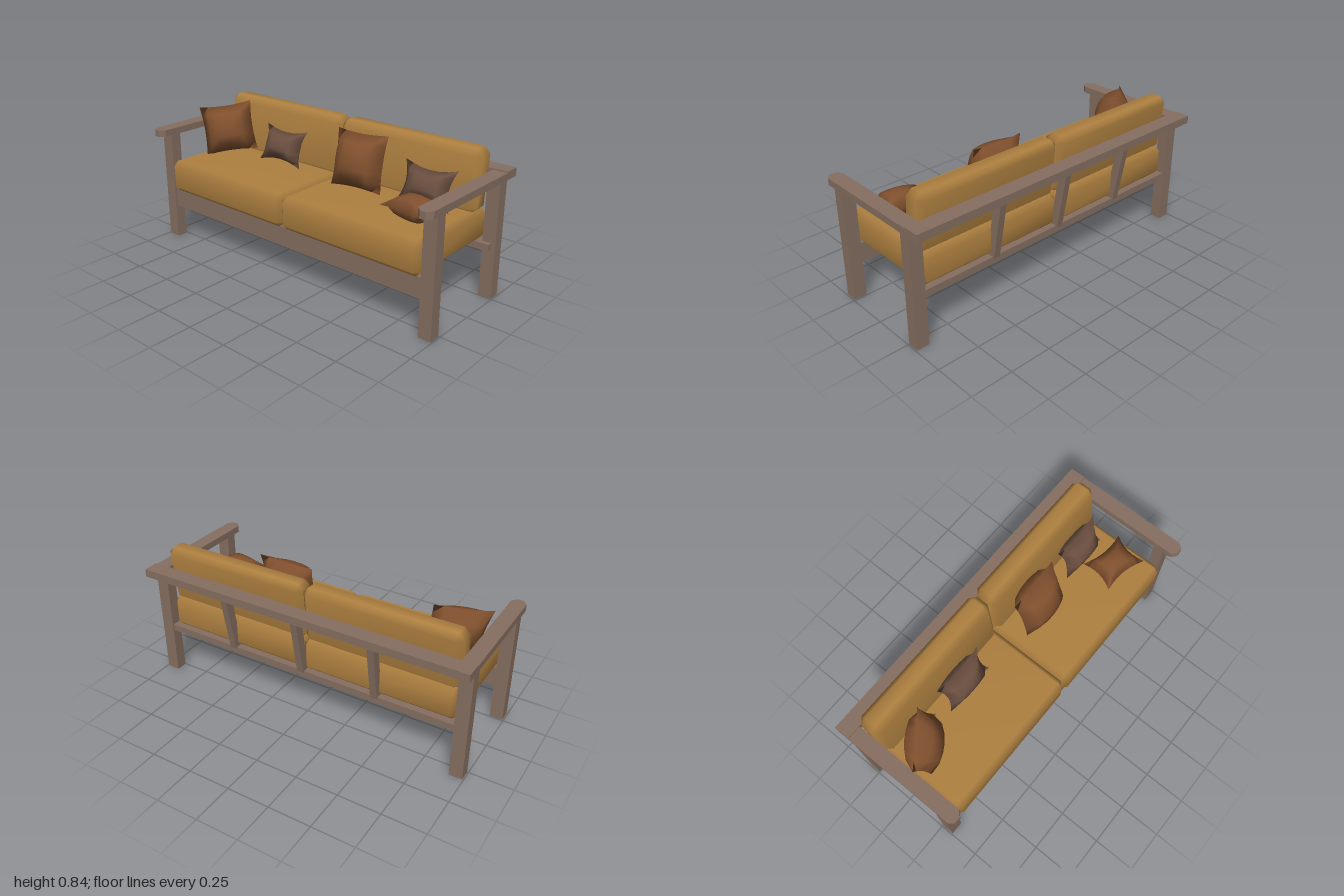
import * as THREE from 'three';
import { mergeVertices } from 'three/addons/utils/BufferGeometryUtils.js';
import { ConvexGeometry } from 'three/addons/geometries/ConvexGeometry.js';

const material = (name, color) => {
  const m = new THREE.MeshStandardMaterial({ color });
  m.name = name;
  return m;
};

// Weld the corners and shade the surface smoothly
function smooth(geometry) {
  geometry.deleteAttribute('normal');
  if (geometry.attributes.uv) geometry.deleteAttribute('uv');
  const g = mergeVertices(geometry, 1e-4);
  g.computeVertexNormals();
  return g;
}

// Move z in proportion to y, to lean a part backwards
const shear = (geometry, k) =>
  geometry.applyMatrix4(new THREE.Matrix4().makeShear(0, 0, 0, k, 0, 0));

// Box with every edge chamfered by c
function chamferBox(w, h, d, c) {
  const points = [];
  const [x, y, z] = [w / 2, h / 2, d / 2];
  for (const a of [-1, 1]) for (const b of [-1, 1]) for (const e of [-1, 1]) {
    points.push(
      new THREE.Vector3(a * x, b * (y - c), e * (z - c)),
      new THREE.Vector3(a * (x - c), b * y, e * (z - c)),
      new THREE.Vector3(a * (x - c), b * (y - c), e * z));
  }
  return smooth(new ConvexGeometry(points));
}

// Stuffed pillow: thin at the rim, full in the middle, edges drawn in
function pillowGeometry(w, h, t, pinch) {
  const g = new THREE.BoxGeometry(2, 2, 2, 6, 6, 1);
  const p = g.attributes.position;
  for (let i = 0; i < p.count; i++) {
    const u = p.getX(i), v = p.getY(i);
    const full = Math.pow(Math.max(0, (1 - u * u) * (1 - v * v)), 0.45);
    p.setXYZ(i,
      u * (w / 2 - pinch * (1 - v * v)),
      v * (h / 2 - pinch * (1 - u * u)),
      Math.sign(p.getZ(i)) * full * t / 2);
  }
  return smooth(g);
}

export function createModel() {
  const model = new THREE.Group();
  const wood = material('wood', 0x866f60);
  const fabric = material('ochreFabric', 0xae8040);
  const brown = material('brownFabric', 0x80502e);
  const dark = material('darkBrownFabric', 0x6b4f40);

  function add(name, geometry, mat, x, y, z) {
    const mesh = new THREE.Mesh(geometry, mat);
    mesh.name = name;
    mesh.position.set(x, y, z);
    model.add(mesh);
    return mesh;
  }

  // Box given by its limits on each axis
  const beam = (name, x0, x1, y0, y1, z0, z1) =>
    add(name, new THREE.BoxGeometry(x1 - x0, y1 - y0, z1 - z0), wood,
      (x0 + x1) / 2, (y0 + y1) / 2, (z0 + z1) / 2);

  // Armrest plank outline with clipped front corners
  const plank = new THREE.Shape([
    [-0.043, 0.305], [-0.043, -0.368], [-0.017, -0.398],
    [0.017, -0.398], [0.043, -0.368], [0.043, 0.305],
  ].map(([x, y]) => new THREE.Vector2(x, y)));
  const armGeometry = new THREE.ExtrudeGeometry(plank, { depth: 0.04, bevelEnabled: false });
  armGeometry.rotateX(-Math.PI / 2);

  // Legs, armrests and cushions on both sides
  for (const s of [-1, 1]) {
    const side = s > 0 ? 'left' : 'right';
    const legX = s * 0.955;
    beam(side + 'FrontLeg', legX - 0.038, legX + 0.038, 0, 0.667, 0.258, 0.324);
    beam(side + 'BackLeg', legX - 0.038, legX + 0.038, 0, 0.667, -0.318, -0.252);
    add(side + 'Armrest', armGeometry, wood, s * 0.957, 0.667, 0);
    add(side + 'SeatCushion', chamferBox(0.91, 0.19, 0.64, 0.03), fabric, s * 0.456, 0.415, 0.025);
    add(side + 'BackCushion', shear(chamferBox(0.91, 0.345, 0.138, 0.035), -0.1), fabric,
      s * 0.456, 0.663, -0.222);
  }

  // Rails
  beam('frontRail', -0.92, 0.92, 0.205, 0.322, 0.27, 0.312);
  beam('lowerBackRail', -0.97, 0.97, 0.283, 0.323, -0.31, -0.222);
  beam('topBackRail', -1, 1, 0.667, 0.714, -0.398, -0.305);

  // Leaning back slats
  for (const x of [-0.46, 0, 0.46]) {
    add('backSlat', shear(new THREE.BoxGeometry(0.04, 0.36, 0.052), -0.173), wood, x, 0.494, -0.322);
  }

  // Loose pillows: size, position, then yaw, lean and roll
  function pillow(name, mat, [w, h, t, pinch], [x, y, z], [yaw, lean, roll]) {
    const mesh = add(name, pillowGeometry(w, h, t, pinch), mat, x, y, z);
    mesh.rotation.set(lean, yaw, roll, 'YXZ');
  }
  const large = [0.335, 0.32, 0.21, 0.012];
  const small = [0.325, 0.225, 0.15, 0.03];
  pillow('rightLargePillow', brown, [0.325, 0.3, 0.2, 0.012], [-0.76, 0.672, 0], [0.6, -0.2, 0.17]);
  pillow('leftLargePillow', brown, large, [0.245, 0.673, -0.04], [0.03, -0.25, 0.03]);
  pillow('rightSmallPillow', dark, small, [-0.362, 0.622, -0.075], [0, -0.35, 0]);
  pillow('leftSmallPillow', dark, small, [0.667, 0.622, -0.075], [0, -0.35, 0]);
  pillow('lyingPillow', brown, [0.28, 0.215, 0.135, 0.025], [0.73, 0.577, 0.125], [-0.18, -Math.PI / 2, 0]);

  return model;
}
